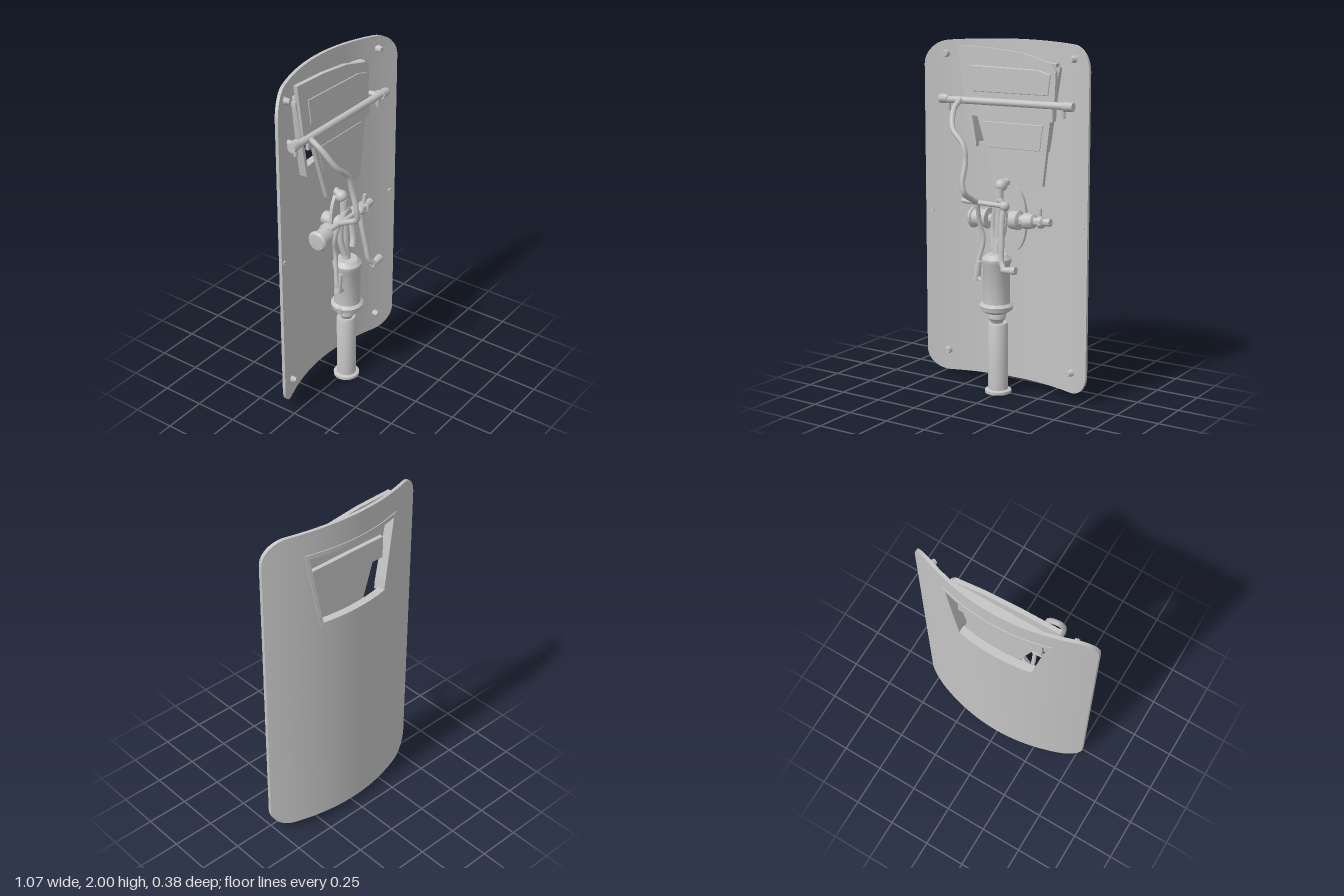
import * as THREE from 'three';
import { mergeVertices, toCreasedNormals } from 'three/addons/utils/BufferGeometryUtils.js';

const steel = new THREE.MeshStandardMaterial({ color: 0xc4c4c4 });
steel.name = 'grey steel';

const W = 0.535, R = 0.13;
const shieldBack = (x) => -0.18 + 0.45 * x * x;
const range = (a, b, n) => Array.from({ length: n + 1 }, (_, i) => a + (b - a) * i / n);
const V = (p) => new THREE.Vector3(...p);

export function createModel() {
  const model = new THREE.Group();
  model.name = 'shieldWithMount';

  function add(name, geo, x = 0, y = 0, z = 0, parent = model) {
    const m = new THREE.Mesh(geo, steel);
    m.name = name;
    m.position.set(x, y, z);
    parent.add(m);
    return m;
  }

  // Closed slab swept along x: every column is a rectangle lo..hi by back..front
  function slab(xs, lo, hi, back, front) {
    const pos = [], idx = [], n = xs.length;
    xs.forEach((x) => pos.push(
      x, lo(x), back(x), x, hi(x), back(x), x, hi(x), front(x), x, lo(x), front(x)));
    for (let i = 0; i < n - 1; i++) for (let j = 0; j < 4; j++) {
      const a = i * 4 + j, b = i * 4 + (j + 1) % 4;
      idx.push(a, b, b + 4, a, b + 4, a + 4);
    }
    const e = (n - 1) * 4;
    idx.push(0, 2, 1, 0, 3, 2, e, e + 1, e + 2, e, e + 2, e + 3);
    const g = new THREE.BufferGeometry();
    g.setAttribute('position', new THREE.Float32BufferAttribute(pos, 3));
    g.setIndex(idx);
    return toCreasedNormals(g, 0.5);
  }

  // Rod between two points
  function rod(name, a, b, r0, r1 = r0, sides = 14) {
    const d = V(b).sub(V(a));
    const m = add(name, new THREE.CylinderGeometry(r1, r0, d.length(), sides));
    m.position.copy(V(a)).addScaledVector(d, 0.5);
    m.quaternion.setFromUnitVectors(new THREE.Vector3(0, 1, 0), d.normalize());
    return m;
  }
  const tube = (name, pts, r) => add(name,
    new THREE.TubeGeometry(new THREE.CatmullRomCurve3(pts.map(V)), 40, r, 8));

  // Lathe with crisp steps
  const lathe = (pts) => toCreasedNormals(mergeVertices(
    new THREE.LatheGeometry(pts.map((p) => new THREE.Vector2(...p)), 24)), 0.6);

  function plate(name, pts, z, depth, bevel = 0) {
    const s = new THREE.Shape(pts.map((p) => new THREE.Vector2(...p)));
    return add(name, new THREE.ExtrudeGeometry(s, {
      depth, bevelEnabled: bevel > 0, bevelSize: bevel, bevelThickness: bevel, bevelSegments: 2,
    }), 0, 0, z);
  }

  // Curved shield with rounded corners, split along the top of the window
  const corner = (x) => {
    const t = Math.max(0, Math.abs(x) - (W - R));
    return R - Math.sqrt(Math.max(0, R * R - t * t));
  };
  const rim = range(0, Math.PI / 2, 10).map((a) => W - R + R * Math.sin(a));
  const half = [...range(0, 0.23, 8), ...range(0.25, 0.31, 3), 0.34, 0.37, ...rim];
  const xs = [...half.slice(1).reverse().map((x) => -x), ...half];
  const slope = (x) => 1.41 + (x - 0.23) * 5.5;
  const windowLow = (x) => THREE.MathUtils.clamp(slope(Math.abs(x)), 1.41, 1.85);
  const shieldFront = (x) => shieldBack(x) + 0.02;
  add('shieldLower', slab(xs, (x) => 0.04 + corner(x), windowLow, shieldBack, shieldFront));
  add('shieldUpper', slab(xs, () => 1.85, (x) => 2 - 0.08 * x * x - corner(x) * 0.98,
    shieldBack, shieldFront));

  // Window frame reaching forward from the shield
  const lip = (x) => shieldBack(x) - 0.005, inner = () => -0.085;
  add('windowFrameTop', slab(range(-0.32, 0.32, 16), () => 1.835, () => 1.86, lip, inner));
  add('windowFrameBottom', slab(range(-0.235, 0.235, 12), () => 1.39, () => 1.415, lip,
    (x) => shieldBack(x) + 0.04));
  for (const s of [-1, 1]) {
    const cols = range(0.222, 0.32, 8).map((x) => s * x);
    if (s < 0) cols.reverse();
    add('windowFrameSide', slab(cols,
      (x) => Math.max(1.39, slope(Math.abs(x) - 0.01)),
      (x) => Math.min(1.86, slope(Math.abs(x) + 0.01)), lip, inner));
  }

  // Sight panel behind the window, with pressed ridges
  plate('sightPanel', [[-0.08, 1.2], [0.23, 1.2], [0.275, 1.56], [0.3, 1.57], [0.31, 1.84],
    [0.285, 1.88], [0.1, 1.93], [-0.1, 1.952], [-0.33, 1.96], [-0.29, 1.7], [-0.275, 1.62],
    [-0.2, 1.57]], -0.09, 0.025);
  plate('upperRidge', [[-0.22, 1.71], [0.26, 1.71], [0.275, 1.82], [0.2, 1.84], [-0.24, 1.85]],
    -0.066, 0.003, 0.004);
  plate('lowerRidge', [[-0.12, 1.4], [0.21, 1.4], [0.23, 1.54], [-0.16, 1.54]],
    -0.066, 0.002, 0.003);
  add('panelBand', new THREE.BoxGeometry(0.56, 0.08, 0.02), 0.02, 1.61, -0.062);
  add('panelBackBand', new THREE.BoxGeometry(0.5, 0.13, 0.03), 0, 1.66, -0.1);
  add('panelTopWall', slab(range(-0.31, 0.3, 12), () => 1.86, () => 1.88,
    (x) => shieldBack(x) + 0.01, inner));

  // Cross bar with end clamps and pins
  rod('crossBar', [-0.42, 1.655, -0.035], [0.42, 1.66, -0.035], 0.02);
  for (const x of [-0.4, 0.41]) {
    rod('barEnd', [x - 0.028, 1.658, -0.035], [x + 0.028, 1.658, -0.035], 0.028, 0.024, 8);
  }
  for (const x of [-0.38, 0.37]) {
    rod('barPin', [x, 1.59, -0.045], [x, 1.68, -0.045], 0.012, 0.016, 8);
    rod('barMount', [x, 1.655, shieldBack(x) + 0.01], [x, 1.655, -0.035], 0.016);
  }

  // Bolts in the corners and small studs halfway up the edges
  for (const x of [-0.42, 0.42]) for (const y of [0.16, 1.91]) {
    const z = shieldBack(x);
    rod('cornerBolt', [x, y, z + 0.01], [x * 0.975, y, z + 0.05], 0.024, 0.015, 8);
  }
  for (const x of [-0.5, 0.5]) {
    add('edgeStud', new THREE.BoxGeometry(0.02, 0.012, 0.02), x, 1.0, shieldFront(x));
  }

  // Pole, neck and main barrel
  add('pole', lathe([[0, 0], [0.076, 0], [0.076, 0.016], [0.057, 0.022], [0.057, 0.4],
    [0.052, 0.412], [0, 0.412]]), -0.01, 0, 0.013);
  add('neck', lathe([[0.03, 0.4], [0.036, 0.42], [0.052, 0.44], [0.052, 0.48], [0.04, 0.5]]),
    -0.015, 0, 0.018);
  add('barrel', lathe([[0, 0.47], [0.06, 0.472], [0.09, 0.49], [0.095, 0.515], [0.077, 0.53],
    [0.076, 0.75], [0.084, 0.765], [0.083, 0.785], [0.06, 0.81], [0, 0.815]]), -0.015, 0, 0.022);
  rod('barrelLug', [-0.11, 0.5, 0.03], [-0.07, 0.51, 0.03], 0.022, 0.028, 8);
  rod('stem', [-0.015, 0.8, 0.015], [-0.015, 0.96, 0], 0.028, 0.02);

  // Yoke, centre lever and ball
  tube('yoke', [[-0.035, 0.84, 0.02], [-0.05, 0.95, 0], [-0.035, 1.06, 0], [0, 1.12, 0.01],
    [0.03, 1.05, 0.01], [0.03, 0.93, 0.03], [0.01, 0.88, 0.04]], 0.018);
  rod('centreLever', [-0.01, 0.9, 0.005], [-0.01, 1.18, -0.005], 0.026, 0.022, 10);
  add('leverBall', new THREE.SphereGeometry(0.035, 16, 12), -0.01, 1.195, -0.02);
  rod('panelLink', [-0.01, 1.2, -0.02], [0, 1.215, -0.085], 0.022);

  // Horizontal axle with stepped drums
  const axle = add('axle', lathe([[0, -0.225], [0.05, -0.222], [0.06, -0.21], [0.06, -0.2],
    [0.05, -0.195], [0.05, -0.12], [0.06, -0.115], [0.06, -0.1], [0.028, -0.095], [0.028, 0.04],
    [0.05, 0.045], [0.055, 0.1], [0.032, 0.11], [0.032, 0.13], [0.046, 0.135], [0.04, 0.19],
    [0.024, 0.2], [0.024, 0.225], [0.036, 0.23], [0.034, 0.25], [0.022, 0.26], [0.022, 0.3],
    [0, 0.303]]), 0, 1, -0.04);
  axle.rotation.z = -Math.PI / 2 + 0.04;
  rod('axleKnob', [0.23, 1.01, -0.04], [0.235, 1.09, -0.035], 0.015, 0.01, 8);

  // Rounded backing plate and its support to the shield
  const backing = add('backingPlate', new THREE.CylinderGeometry(0.1, 0.1, 0.02, 24), 0.045, 1, -0.085);
  backing.rotation.x = Math.PI / 2;
  backing.scale.set(0.75, 1, 1.8);
  rod('shieldSupport', [0.02, 1, -0.165], [0.02, 1, -0.04], 0.04);

  // Handle rod and hanging crank
  rod('handleRod', [-0.22, 1.1, 0.052], [0.08, 1.095, 0.052], 0.014);
  add('crankHub', new THREE.SphereGeometry(0.028, 12, 10), 0.06, 1.095, 0.055);
  tube('crankArm', [[0.055, 1.1, 0.055], [0.055, 1.0, 0.075], [0.065, 0.88, 0.095],
    [0.075, 0.79, 0.11], [0.1, 0.755, 0.125]], 0.016);
  rod('crankGrip', [0.085, 0.75, 0.125], [0.172, 0.755, 0.118], 0.016, 0.023, 10);

  // Cable from the cross bar and strap hanging beside the barrel
  tube('cable', [[-0.285, 1.66, -0.02], [-0.28, 1.61, 0.05], [-0.24, 1.51, 0.115],
    [-0.16, 1.43, 0.135], [-0.14, 1.34, 0.145], [-0.14, 1.22, 0.175], [-0.13, 1.165, 0.17],
    [-0.13, 1.13, 0.11], [-0.125, 1.1, 0.055]], 0.016);
  tube('strap', [[-0.125, 1.1, 0.05], [-0.13, 0.98, 0.02], [-0.11, 0.88, 0.01],
    [-0.13, 0.76, 0.03], [-0.135, 0.68, 0.045], [-0.1, 0.65, 0.05]], 0.013);
  rod('strapEnd', [-0.135, 0.65, 0.045], [-0.115, 0.76, 0.045], 0.022, 0.014, 8);

  return model;
}
